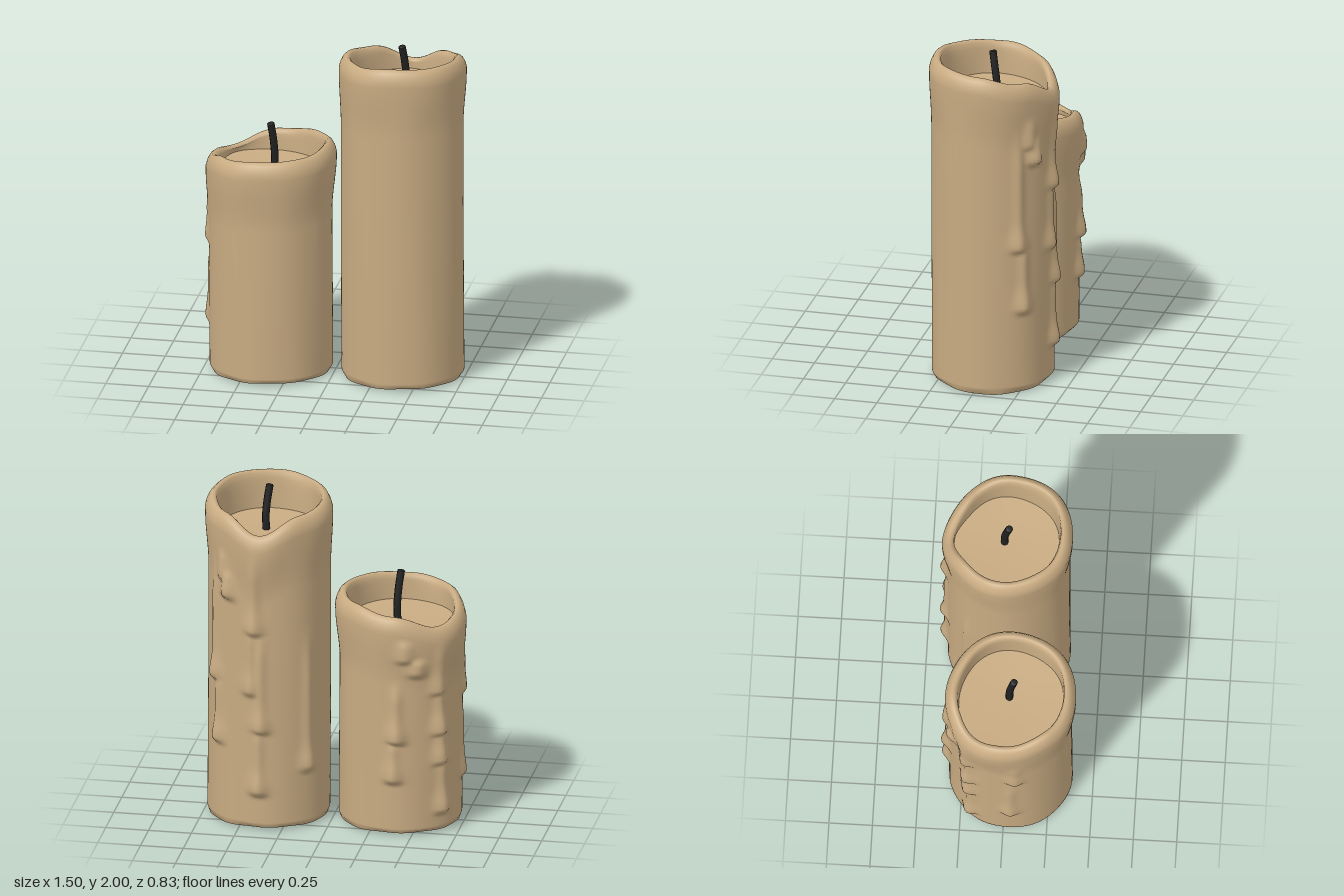
import * as THREE from 'three';

const SEG = 144;
const RAD = Math.PI / 180;
const lerp = THREE.MathUtils.lerp;
const smooth = THREE.MathUtils.smoothstep;

const wax = new THREE.MeshStandardMaterial({ color: 0xc8ab82 });
wax.name = 'wax';
const char = new THREE.MeshStandardMaterial({ color: 0x222222 });
char.name = 'charredWick';

// Angles are in degrees, measured from the back (-z) towards -x.
const angleGap = (a, b) => ((a - b + 540) % 360 + 360) % 360 - 180;
const bell = (a, centre, width) => Math.exp(-((angleGap(a, centre) / width) ** 2));

// Smooth loop through eight heights, one every 45 degrees
function around(keys, a) {
  const f = (((a % 360) + 360) % 360) / 45;
  const i = Math.floor(f);
  const t = (1 - Math.cos((f - i) * Math.PI)) / 2;
  return lerp(keys[i % 8], keys[(i + 1) % 8], t);
}

// Closed rings skinned together; point(ring, angle) returns [radius, y]
function loft(rings, point) {
  const pos = [], index = [];
  for (let i = 0; i < rings; i++) {
    for (let j = 0; j < SEG; j++) {
      const a = (j / SEG) * 360;
      const [r, y] = point(i, a);
      pos.push(-Math.sin(a * RAD) * r, y, -Math.cos(a * RAD) * r);
    }
  }
  for (let i = 0; i < rings - 1; i++) {
    for (let j = 0; j < SEG; j++) {
      const k = (j + 1) % SEG;
      const a = i * SEG + j, b = i * SEG + k, c = a + SEG, d = b + SEG;
      index.push(a, b, c, b, d, c);
    }
  }
  const g = new THREE.BufferGeometry();
  g.setAttribute('position', new THREE.Float32BufferAttribute(pos, 3));
  g.setIndex(index);
  g.computeVertexNormals();
  return g;
}

// Run of wax: thick rounded tip, thinning upwards
function dripHeight(drips, a, y) {
  let h = 0;
  for (const [angle, tip, length, amp = 0.036] of drips) {
    const d = y - tip;
    if (d < -0.03 || d > length) continue;
    const bead = Math.exp(-((Math.max(d - 0.03, 0) / 0.09) ** 2));
    const run = smooth(d, -0.03, 0.02) * (1 - smooth(d, length * 0.6, length));
    h = Math.max(h, amp * run * (0.5 + 0.5 * bead) * bell(a, angle, 5 + 2.5 * bead));
  }
  return h;
}

function makeCandle(name, p) {
  const candle = new THREE.Group();
  candle.name = name;
  const add = (part, geo, mat) => {
    const m = new THREE.Mesh(geo, mat);
    m.name = part;
    candle.add(m);
    return m;
  };

  const spout = a => bell(a, p.spout, 24);
  const top = a => around(p.rim, a) - p.spoutDip * spout(a);
  const rimR = a => p.rimR + 0.018 * spout(a) + 0.004 * Math.sin(5 * a * RAD + 1);
  const innerR = a => p.innerR + 0.035 * spout(a) + 0.005 * Math.sin(4 * a * RAD);
  const ripple = (a, y) => 0.003 * Math.sin(3 * a * RAD + y) + 0.002 * Math.sin(7 * a * RAD + 2 * y);
  const baseR = a => p.bodyR - 0.014 + 0.004 * Math.sin(9 * a * RAD) + ripple(a, 0);
  const baseY = a => 0.007 + 0.007 * Math.sin(2 * a * RAD + 1);

  // Outer wall with drips, rolled rim and inner wall
  const BODY = 118;
  const roll = [[0, 0.075], [0.008, 0.045], [0.022, 0.018], [0.04, 0.003], [0.055, 0.002], [0.068, 0.014]];
  const INNER = 6;
  const wall = loft(BODY + roll.length + INNER, (i, a) => {
    const H = top(a), R = rimR(a);
    if (i === 0) return [baseR(a), baseY(a)];
    if (i < BODY) {
      const y = lerp(0.03, H - 0.1, (i - 1) / (BODY - 2));
      const flare = smooth(y, H - 0.42, H - 0.1);
      const r = lerp(p.bodyR + ripple(a, y), R, flare);
      return [r + dripHeight(p.drips, a, y) * (1 - 0.4 * flare), y];
    }
    if (i < BODY + roll.length) {
      const [dr, dy] = roll[i - BODY];
      return [R - dr, H - dy];
    }
    const t = (i - BODY - roll.length + 1) / INNER;
    return [lerp(R - 0.068, innerR(a), Math.sqrt(t)), lerp(H - 0.014, p.floor, t)];
  });
  add('waxBody', wall, wax);

  // Wax pool, dished slightly towards the wick
  add('waxPool', loft(8, (i, a) => [innerR(a) * (1 - i / 7), p.floor - 0.012 * Math.sin((i / 7) * Math.PI / 2)]), wax);

  // Underside
  add('base', loft(3, (i, a) => [baseR(a) * i / 2, lerp(0.007, baseY(a), i / 2)]), wax);

  // Bent wick with a capped tip
  const [wx, wz] = p.wick;
  const path = new THREE.CatmullRomCurve3([
    new THREE.Vector3(wx + 0.005, p.floor - 0.03, wz - 0.012),
    new THREE.Vector3(wx + 0.008, p.floor + 0.08, wz - 0.01),
    new THREE.Vector3(wx + 0.002, lerp(p.floor, p.wickTop, 0.65), wz + 0.002),
    new THREE.Vector3(wx - 0.01, p.wickTop, wz + 0.016),
  ]);
  add('wick', new THREE.TubeGeometry(path, 12, 0.022, 8), char);
  const tip = add('wickTip', new THREE.SphereGeometry(0.022, 8, 4, 0, Math.PI * 2, 0, Math.PI / 2), char);
  tip.position.copy(path.getPoint(1));
  tip.quaternion.setFromUnitVectors(new THREE.Vector3(0, 1, 0), path.getTangent(1));
  tip.scale.y = 0.3;

  candle.position.set(p.x, 0, p.z);
  return candle;
}

export function createModel() {
  const model = new THREE.Group();
  model.name = 'candles';

  // Drips: [angle, tip height, length, thickness]
  model.add(makeCandle('tallCandle', {
    x: 0.383, z: -0.026, bodyR: 0.352, rimR: 0.367, innerR: 0.283,
    rim: [1.88, 1.9, 1.93, 1.945, 1.968, 1.965, 1.95, 1.9],
    spout: 0, spoutDip: 0.08, floor: 1.74, wick: [0.007, -0.018], wickTop: 1.99,
    drips: [
      [0, 0.22, 0.5, 0.045], [2, 0.6, 0.7, 0.045], [-7, 0.83, 0.5], [-4, 1.2, 0.55, 0.045],
      [-50, 0.88, 0.8, 0.04], [-45, 0.5, 0.5, 0.04], [-32, 1.4, 0.2, 0.045], [-38, 1.5, 0.2, 0.03],
      [49, 0.35, 0.9, 0.036],
    ],
  }));

  model.add(makeCandle('shortCandle', {
    x: -0.376, z: 0.027, bodyR: 0.354, rimR: 0.376, innerR: 0.298,
    rim: [1.335, 1.3, 1.29, 1.345, 1.365, 1.375, 1.388, 1.37],
    spout: 49, spoutDip: 0.045, floor: 1.21, wick: [0.012, 0], wickTop: 1.49,
    drips: [
      [25, 0.98, 0.12, 0.04], [14, 1.07, 0.15, 0.04], [6, 0.57, 0.4, 0.045], [3, 0.33, 0.3, 0.04],
      [49, 0.6, 0.6, 0.045], [50, 0.42, 0.3, 0.04], [52, 0.12, 0.4, 0.04], [47, 0.85, 0.35, 0.04],
      [92, 0.27, 0.5, 0.03], [96, 0.77, 0.3, 0.025],
    ],
  }));

  return model;
}
